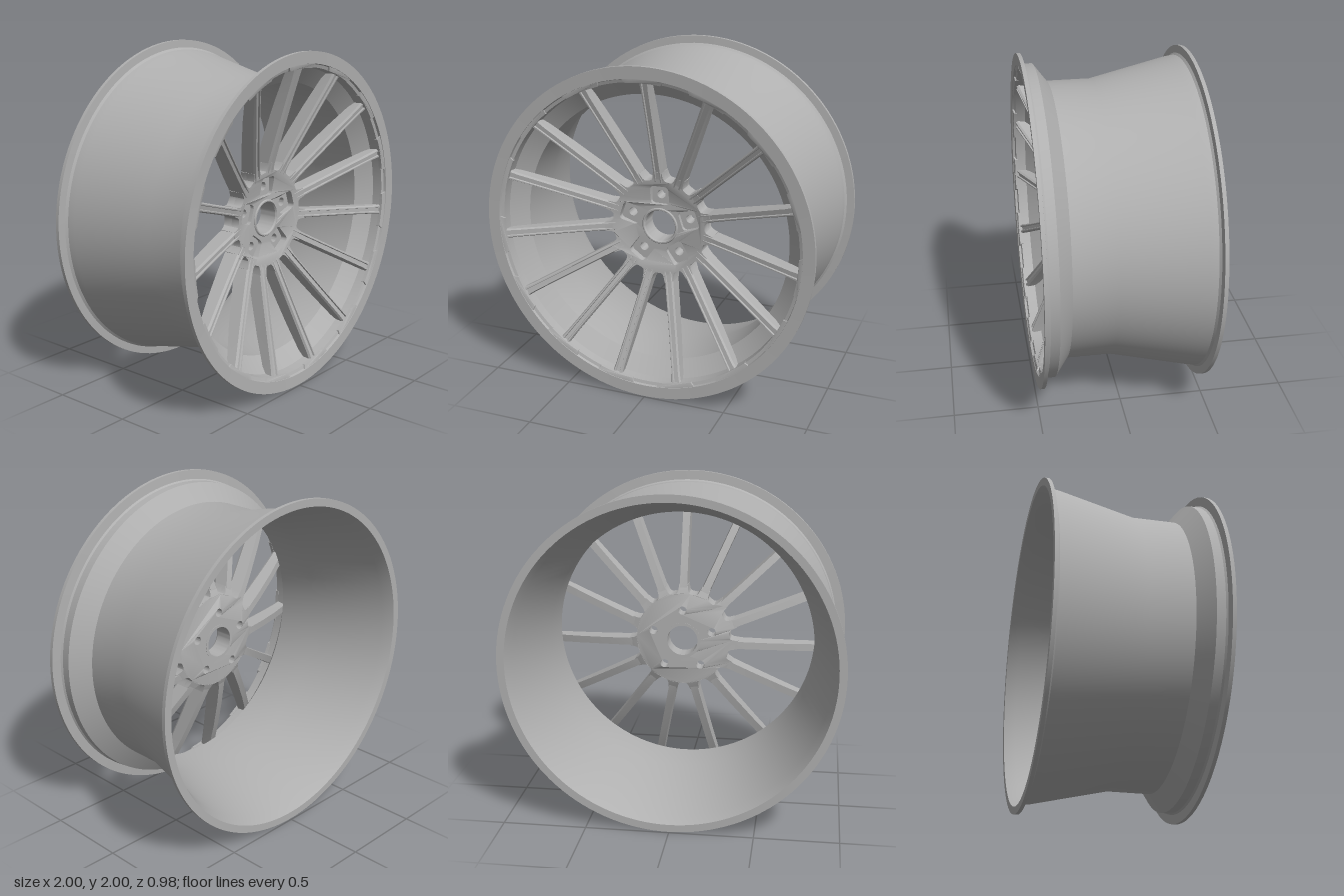
import * as THREE from 'three';
import { toCreasedNormals } from 'three/addons/utils/BufferGeometryUtils.js';

const SPOKES = 15, LUGS = 5, TOP = Math.PI / 2;
const V = (x, y) => new THREE.Vector2(x, y);

// Spin a closed (radius, z) profile, counter-clockwise, around the z axis
function spin(profile, segments = 128) {
  const pts = [...profile, profile[0]].map(([r, z]) => V(r, z));
  return toCreasedNormals(new THREE.LatheGeometry(pts, segments).rotateX(Math.PI / 2), 0.3);
}

// Extrude a shape, then place its two caps by radius-dependent heights
function slab(shape, back, front) {
  const g = new THREE.ExtrudeGeometry(shape, { depth: 1, bevelEnabled: false, curveSegments: 20 });
  const p = g.attributes.position;
  for (let i = 0; i < p.count; i++) {
    const r = Math.hypot(p.getX(i), p.getY(i));
    p.setZ(i, p.getZ(i) > 0.5 ? front(r) : back(r));
  }
  g.computeVertexNormals();
  return toCreasedNormals(g, 0.5);
}

// Scalloped hub outline with a short root stub for every spoke
function hubOutline() {
  const tooth = [[0.286, -0.045], [0.292, -0.037], [0.306, -0.031], [0.34, -0.027],
    [0.34, 0.027], [0.306, 0.031], [0.292, 0.037], [0.286, 0.045]];
  const pts = [];
  for (let k = 0; k < SPOKES; k++) {
    const a = TOP + (k / SPOKES) * Math.PI * 2, c = Math.cos(a), s = Math.sin(a);
    for (const [r, u] of tooth) pts.push(V(r * c - u * s, r * s + u * c));
  }
  return new THREE.Shape(pts);
}

function circleHole(x, y, r) {
  return new THREE.Path().absarc(x, y, r, 0, Math.PI * 2, true);
}

// Rounded square pocket centred at radius d along angle a
function pocketHole(a, d, half, corner) {
  const pts = [], c = Math.cos(a), s = Math.sin(a), m = half - corner;
  for (let q = 0; q < 4; q++) {
    const cx = (q === 0 || q === 3 ? m : -m), cy = (q < 2 ? m : -m);
    for (let i = 0; i <= 5; i++) {
      const t = (q + i / 5) * Math.PI / 2;
      const x = d + cx + corner * Math.cos(t), y = cy + corner * Math.sin(t);
      pts.push(V(x * c - y * s, x * s + y * c));
    }
  }
  return new THREE.Path(pts);
}

// Spoke lofted along +y: each station is [radius, front z, depth, half width]
function spokeGeometry() {
  const stations = [[0.27, 0.258, 0.1, 0.027], [0.34, 0.281, 0.108, 0.027], [0.5, 0.331, 0.104, 0.026],
    [0.7, 0.396, 0.094, 0.026], [0.86, 0.45, 0.08, 0.027], [0.915, 0.468, 0.07, 0.031]];
  const pos = [], idx = [];
  const n = 10;
  for (const [r, z, d, w] of stations) {
    const section = [[-w * 0.85, -d], [w * 0.85, -d], [w, -0.014], [w - 0.007, 0], [0.013, 0],
      [0.01, -0.01], [-0.01, -0.01], [-0.013, 0], [-w + 0.007, 0], [-w, -0.014]];
    for (const [x, h] of section) pos.push(x, r, z + h);
  }
  for (let s = 0; s < stations.length - 1; s++) {
    for (let i = 0; i < n; i++) {
      const a = s * n + i, b = s * n + (i + 1) % n;
      idx.push(a, a + n, b, b, a + n, b + n);
    }
  }
  const g = new THREE.BufferGeometry();
  g.setAttribute('position', new THREE.Float32BufferAttribute(pos, 3));
  g.setIndex(idx);
  g.computeVertexNormals();
  return toCreasedNormals(g, 0.4);
}

export function createModel() {
  const metal = new THREE.MeshStandardMaterial({ color: 0xb0b0b0 });
  metal.name = 'brushed grey metal';
  const model = new THREE.Group();
  model.name = 'wheelRim';
  const wheel = new THREE.Group();
  wheel.name = 'wheel';
  wheel.position.y = 1;
  model.add(wheel);
  const add = (name, geometry, parent = wheel) => {
    const mesh = new THREE.Mesh(geometry, metal);
    mesh.name = name;
    parent.add(mesh);
    return mesh;
  };

  // Barrel with front and rear flanges: outside back to front, then inside front to back
  add('barrel', spin([
    [0.955, -0.49], [1, -0.49], [1, -0.468], [0.955, -0.464], [0.943, -0.452], [0.937, -0.405],
    [0.83, 0.06], [0.83, 0.32], [0.937, 0.4], [0.937, 0.452], [0.945, 0.463], [1, 0.468], [1, 0.49],
    [0.93, 0.487], [0.926, 0.472], [0.908, 0.466], [0.905, 0.405], [0.812, 0.325], [0.812, 0.06],
    [0.925, -0.42],
  ]));

  // Hub: back plate with bolt holes, front plate with lug pockets
  const backPlate = hubOutline(), frontPlate = hubOutline();
  backPlate.holes.push(circleHole(0, 0, 0.097));
  frontPlate.holes.push(circleHole(0, 0, 0.097));
  for (let k = 0; k < LUGS; k++) {
    const a = TOP + (k / LUGS) * Math.PI * 2;
    backPlate.holes.push(circleHole(0.19 * Math.cos(a), 0.19 * Math.sin(a), 0.026));
    frontPlate.holes.push(pocketHole(a, 0.192, 0.058, 0.022));
  }
  const frontHeight = r => 0.232 + Math.max(0, r - 0.18) * 0.26;
  const backHeight = r => 0.122 + Math.max(0, r - 0.22) * 0.45;
  add('hubBack', slab(backPlate, backHeight, () => 0.208));
  add('hubFront', slab(frontPlate, () => 0.2, frontHeight));
  add('centreBore', spin([[0.094, 0.12], [0.112, 0.12], [0.112, 0.234], [0.107, 0.24], [0.1, 0.24], [0.094, 0.23]], 64));

  // Spokes with end pads on the inner edge of the front lip
  const spoke = spokeGeometry();
  const padSpan = 0.13;
  const padShape = new THREE.Shape();
  padShape.absarc(0, 0, 0.93, TOP - padSpan, TOP + padSpan, false);
  padShape.absarc(0, 0, 0.905, TOP + padSpan - 0.015, TOP - padSpan + 0.015, true);
  const pad = slab(padShape, () => 0.455, r => (r > 0.92 ? 0.484 : 0.476));
  for (let k = 0; k < SPOKES; k++) {
    const arm = new THREE.Group();
    arm.name = 'spokeArm' + (k + 1);
    arm.rotation.z = (k / SPOKES) * Math.PI * 2;
    add('spoke', spoke, arm);
    add('spokeEndPad', pad, arm);
    wheel.add(arm);
  }
  return model;
}
